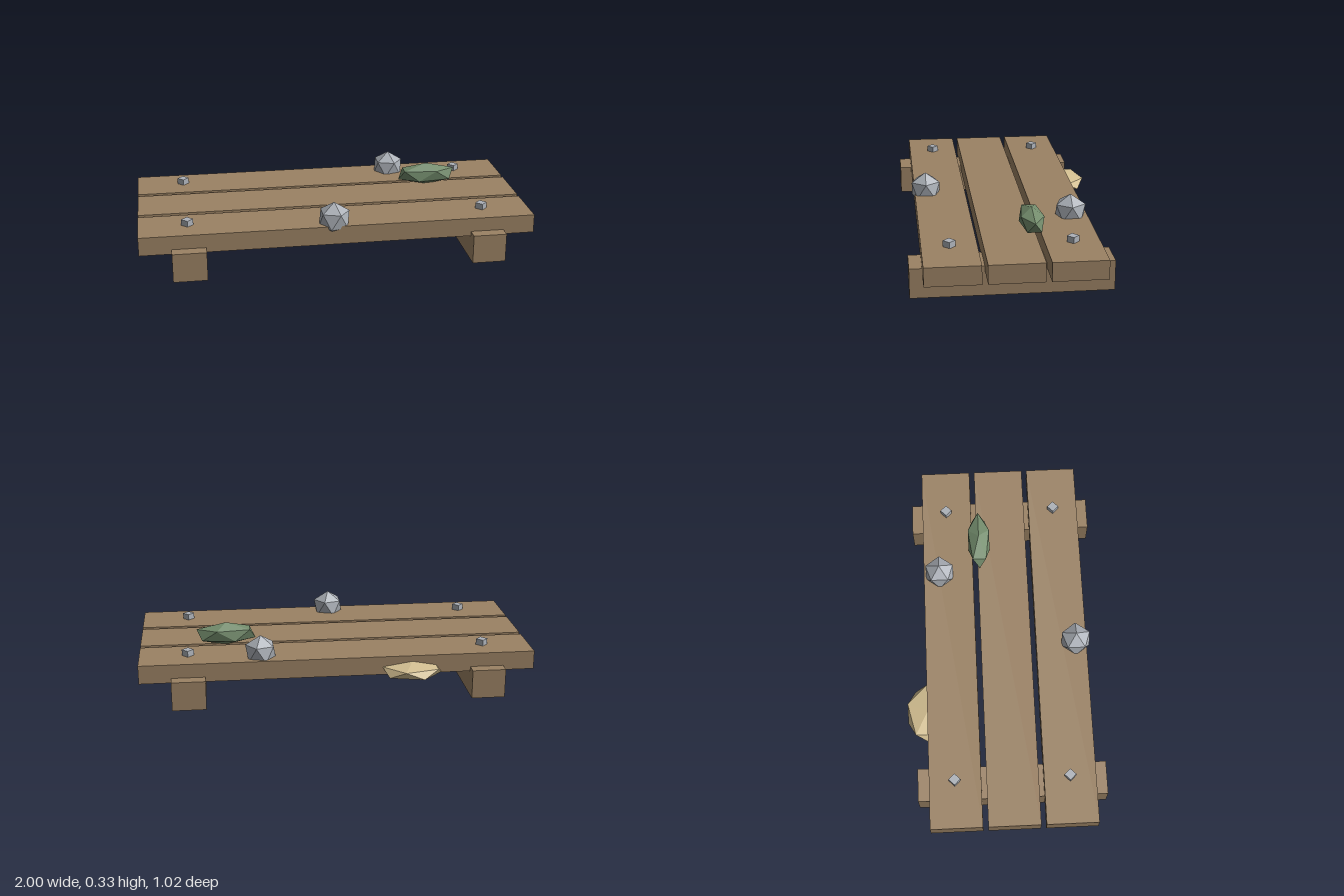
import * as THREE from 'three';

const material = (name, color) => {
  const m = new THREE.MeshStandardMaterial({ color, flatShading: true });
  m.name = name;
  return m;
};

export function createModel() {
  const wood = material('wood', 0x9b8264);
  const grey = material('grey stone', 0xacb1b8);
  const green = material('mossy stone', 0x738c6c);
  const sand = material('sandy stone', 0xd4c092);
  const model = new THREE.Group();
  model.name = 'plankPlatform';

  const add = (name, geometry, mat, x, y, z) => {
    const mesh = new THREE.Mesh(geometry, mat);
    mesh.name = name;
    mesh.position.set(x, y, z);
    model.add(mesh);
    return mesh;
  };

  // Three long deck planks
  const plank = new THREE.BoxGeometry(2, 0.095, 0.266);
  for (const z of [0.313, 0.02, -0.273]) add('plank', plank, wood, 0, 0.1725, z);

  // Two cross runners underneath, with bolt heads above
  const runner = new THREE.BoxGeometry(0.17, 0.149, 0.974);
  const bolt = new THREE.CylinderGeometry(0.03, 0.03, 0.05, 4);
  for (const side of [-1, 1]) {
    add('runner', runner, wood, side * 0.755, 0.0745, 0.02);
    for (const z of [0.313, -0.275]) add('bolt', bolt, grey, side * 0.755, 0.226, z);
  }

  // Unit icosahedron standing on one vertex, shared by all stones
  const stone = new THREE.IcosahedronGeometry(1, 0);
  stone.rotateX(-Math.atan((1 + Math.sqrt(5)) / 2));
  stone.rotateY(Math.PI / 2);
  stone.computeVertexNormals();

  add('frontStone', stone, grey, -0.025, 0.243, 0.388).scale.setScalar(0.086);
  add('backStone', stone, grey, 0.39, 0.243, -0.321).scale.setScalar(0.086);
  add('mossyStone', stone, green, 0.558, 0.27, -0.102).scale.set(0.17, 0.06, 0.067);
  add('sandyStone', stone, sand, -0.37, 0.147, -0.405).scale.set(0.17, 0.043, 0.124);

  return model;
}
